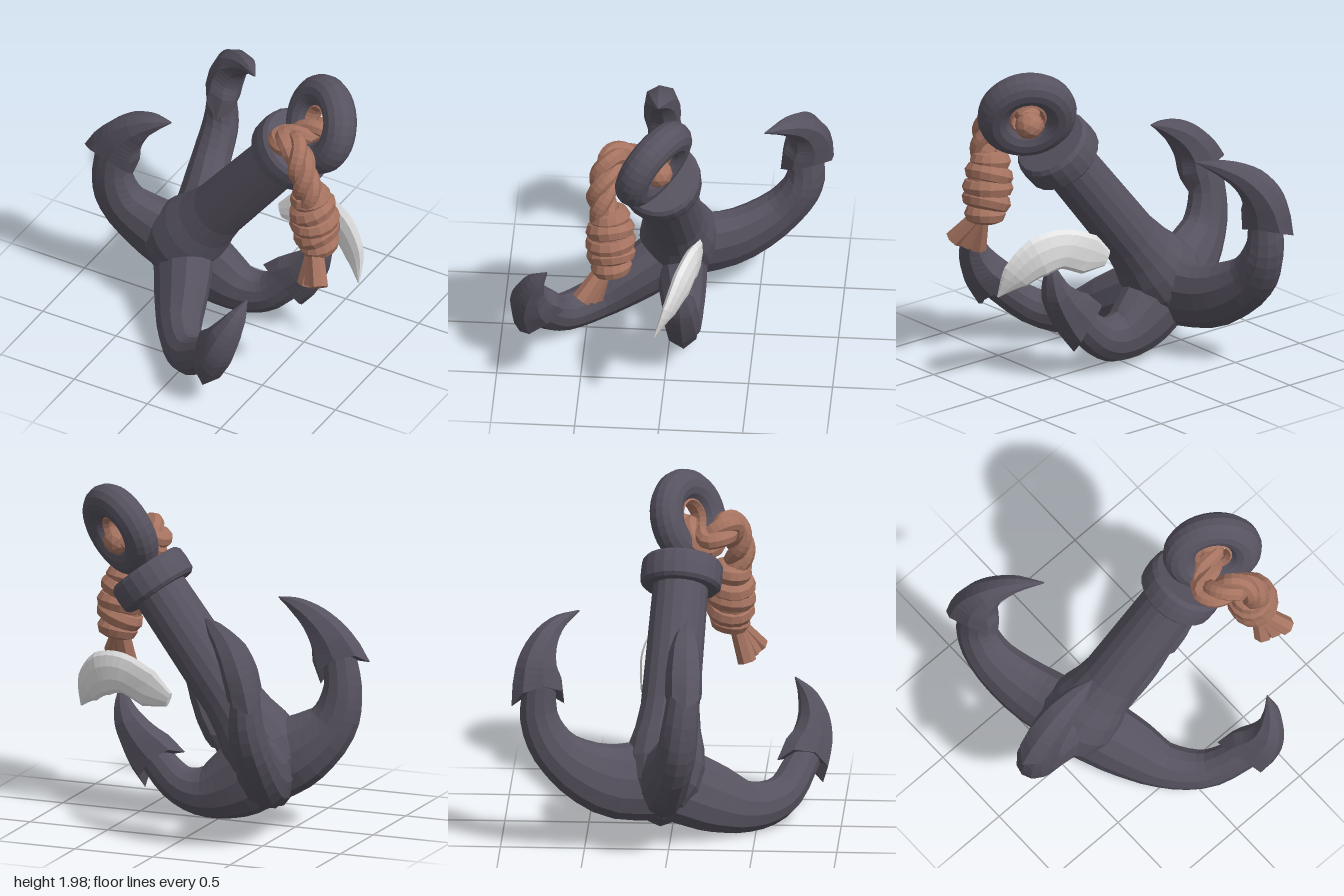
import * as THREE from 'three';

const V = (p) => new THREE.Vector3(...p);
const iron = new THREE.MeshStandardMaterial({ color: 0x56525f });
iron.name = 'dark iron';
const hemp = new THREE.MeshStandardMaterial({ color: 0xa67360 });
hemp.name = 'brown rope';
const bone = new THREE.MeshStandardMaterial({ color: 0xe4e4e4 });
bone.name = 'pale crescent';

// Faceted mesh with a plain name
function part(geo, mat, name, parent) {
  const g = geo.index ? geo.toNonIndexed() : geo;
  g.computeVertexNormals();
  const m = new THREE.Mesh(g, mat);
  m.name = name;
  parent.add(m);
  return m;
}

// Closed loft along a curve: w is the half width in the curve's plane, h across it.
// barb sweeps the edges of the first ring backwards; box < 1 squares the section.
function loft(points, w, h, N, { sides = 12, steps = 14, barb = 0, box = 1 } = {}) {
  const curve = new THREE.CatmullRomCurve3(points.map(V));
  const at = (list, t) => {
    const f = t * (list.length - 1), i = Math.min(Math.floor(f), list.length - 2);
    return THREE.MathUtils.lerp(list[i], list[i + 1], f - i);
  };
  const round = (v) => Math.sign(v) * Math.abs(v) ** box;
  const pos = [], idx = [];
  for (let i = 0; i <= steps; i++) {
    const t = i / steps, c = curve.getPoint(t), T = curve.getTangent(t);
    const W = new THREE.Vector3().crossVectors(N, T).normalize();
    for (let j = 0; j < sides; j++) {
      const a = (j / sides) * Math.PI * 2, k = round(Math.cos(a));
      const p = c.clone().addScaledVector(W, k * at(w, t)).addScaledVector(N, round(Math.sin(a)) * at(h, t));
      if (i === 0) p.addScaledVector(T, -barb * k ** 4);
      pos.push(p.x, p.y, p.z);
      if (i < steps) {
        const A = i * sides + j, B = i * sides + ((j + 1) % sides);
        idx.push(A, B, A + sides, B, B + sides, A + sides);
      }
    }
  }
  const s = pos.length / 3, last = steps * sides;
  pos.push(...points[0], ...points[points.length - 1]);
  for (let j = 0; j < sides; j++) {
    const k = (j + 1) % sides;
    idx.push(s, k, j, s + 1, last + j, last + k);
  }
  const g = new THREE.BufferGeometry();
  g.setAttribute('position', new THREE.Float32BufferAttribute(pos, 3));
  g.setIndex(idx);
  return g;
}

// Each hook: centre points of the arm, then of the fluke
const HOOKS = [
  { name: 'leftwardHook',
    arm: [[-0.33, 0.4, -0.03], [-0.53, 0.49, -0.01], [-0.72, 0.66, 0.05], [-0.77, 0.86, 0.08], [-0.74, 1.08, 0.1]],
    fluke: [[-0.735, 1.05, 0.1], [-0.68, 1.16, 0.1], [-0.58, 1.27, 0.1], [-0.46, 1.345, 0.1], [-0.35, 1.385, 0.1]] },
  { name: 'frontHook',
    arm: [[-0.33, 0.4, -0.03], [-0.2, 0.25, 0.24], [-0.09, 0.16, 0.45], [0.08, 0.175, 0.64], [0.31, 0.36, 0.775]],
    fluke: [[0.305, 0.35, 0.77], [0.375, 0.45, 0.805], [0.43, 0.56, 0.81], [0.48, 0.68, 0.77], [0.51, 0.775, 0.7]] },
  { name: 'backHook',
    arm: [[-0.33, 0.4, -0.03], [-0.43, 0.42, -0.36], [-0.5, 0.59, -0.64], [-0.5, 0.8, -0.765], [-0.5, 1.04, -0.77]],
    fluke: [[-0.5, 1.01, -0.78], [-0.47, 1.14, -0.785], [-0.4, 1.26, -0.75], [-0.28, 1.345, -0.67], [-0.15, 1.385, -0.55]] },
  { name: 'rightwardHook',
    arm: [[-0.33, 0.4, -0.03], [-0.14, 0.265, -0.06], [0.05, 0.195, -0.08], [0.21, 0.23, -0.09], [0.38, 0.39, -0.09]],
    fluke: [[0.37, 0.38, -0.09], [0.46, 0.475, -0.09], [0.54, 0.59, -0.09], [0.575, 0.7, -0.09], [0.58, 0.81, -0.09]] },
];

function buildHook({ name, arm, fluke }, parent) {
  const g = new THREE.Group();
  g.name = name;
  parent.add(g);
  const start = V(arm[0]);
  const N = V(arm[3]).sub(start).cross(V(fluke[4]).sub(start)).normalize();
  part(loft(arm, [0.25, 0.22, 0.155, 0.12, 0.1], [0.17, 0.145, 0.12, 0.11, 0.09], N), iron, 'hookArm', g);
  part(loft(fluke, [0.168, 0.13, 0.09, 0.05, 0.004], [0.11, 0.11, 0.095, 0.06, 0.004], N,
    { sides: 8, barb: 0.1, box: 0.85 }), iron, 'fluke', g);
}

function lathe(profile, sides) {
  return new THREE.LatheGeometry(profile.map((p) => new THREE.Vector2(...p)), sides);
}

// Three strands twisted around a path
function buildRope(points, turns, radius, parent) {
  const curve = new THREE.CatmullRomCurve3(points.map(V)), n = 40;
  const { normals, binormals } = curve.computeFrenetFrames(n);
  for (let s = 0; s < 3; s++) {
    const pts = [];
    for (let i = 0; i <= n; i++) {
      const a = (i / n) * turns * Math.PI * 2 + (s * Math.PI * 2) / 3;
      pts.push(curve.getPointAt(i / n)
        .addScaledVector(normals[i], Math.cos(a) * radius)
        .addScaledVector(binormals[i], Math.sin(a) * radius));
    }
    part(new THREE.TubeGeometry(new THREE.CatmullRomCurve3(pts), 36, radius * 1.15, 8), hemp, 'ropeStrand', parent);
  }
}

export function createModel() {
  const model = new THREE.Group();
  model.name = 'grapnel';

  // Shank, crown and collar share one leaning axis
  const axis = new THREE.Vector3(0.62, 0.783, 0.05).normalize();
  const shaft = new THREE.Group();
  shaft.name = 'shaft';
  shaft.position.set(-0.36, 0.43, -0.035);
  shaft.quaternion.setFromUnitVectors(new THREE.Vector3(0, 1, 0), axis);
  model.add(shaft);
  part(lathe([[0, -0.22], [0.13, -0.19], [0.21, -0.08], [0.24, 0.06], [0.225, 0.19], [0.195, 0.3], [0.175, 0.44],
    [0.165, 1.2]], 18), iron, 'shank', shaft);
  part(lathe([[0.15, 1.19], [0.22, 1.19], [0.24, 1.21], [0.244, 1.28], [0.24, 1.34], [0.22, 1.365], [0, 1.37]], 22),
    iron, 'collar', shaft);

  for (const h of HOOKS) buildHook(h, model);

  // Ring at the head, with rope lining its hole
  const ring = new THREE.Group();
  ring.name = 'headRing';
  ring.position.set(0.65, 1.71, 0.055);
  ring.quaternion.setFromUnitVectors(new THREE.Vector3(0, 0, 1), new THREE.Vector3(-0.5, 0.35, 0.79).normalize());
  model.add(ring);
  part(new THREE.TorusGeometry(0.198, 0.1, 14, 32), iron, 'ring', ring);
  part(new THREE.TorusGeometry(0.107, 0.028, 7, 18), hemp, 'ropeLining', ring).scale.z = 2;

  // Rope from the ring to the knot
  const rope = new THREE.Group();
  rope.name = 'rope';
  model.add(rope);
  buildRope([[0.66, 1.65, 0.03], [0.56, 1.63, 0.1], [0.47, 1.61, 0.19], [0.53, 1.67, 0.27], [0.61, 1.69, 0.31],
    [0.68, 1.6, 0.35], [0.72, 1.47, 0.36], [0.74, 1.33, 0.33]], 2.2, 0.043, rope);
  part(new THREE.IcosahedronGeometry(0.085, 1), hemp, 'ropeStub', rope).position.set(0.66, 1.65, 0.025);

  // Knot of slanting coils around a core
  const core = part(new THREE.IcosahedronGeometry(0.13, 1), hemp, 'knotCore', rope);
  core.position.set(0.745, 1.2, 0.305);
  core.scale.y = 1.5;
  const coils = [0.065, 0.09, 0.095, 0.09, 0.065];
  coils.forEach((r, i) => {
    const coil = part(new THREE.TorusGeometry(r, 0.06, 8, 14), hemp, 'knotCoil', rope);
    coil.position.set(0.72 + i * 0.013, 1.36 - i * 0.08, 0.31 - i * 0.003);
    coil.rotation.set(Math.PI / 2 + 0.15, i % 2 ? 0.4 : 0.15, i * 0.4);
  });

  // Frayed tail ends
  const top = new THREE.Vector3(0.765, 1.04, 0.33);
  for (const end of [[0.745, 0.79, 0.4], [0.87, 0.85, 0.47], [0.81, 0.82, 0.43]]) {
    const d = top.clone().sub(V(end));
    const tail = part(new THREE.CylinderGeometry(0.045, 0.058, d.length(), 7), hemp, 'ropeEnd', rope);
    tail.position.copy(V(end)).addScaledVector(d, 0.5);
    tail.quaternion.setFromUnitVectors(new THREE.Vector3(0, 1, 0), d.normalize());
  }

  // Pale curved crescent perched on the rightward hook
  part(loft([[0.235, 0.765, -0.19], [0.37, 0.82, -0.185], [0.55, 0.89, -0.155], [0.7, 0.86, -0.11], [0.82, 0.75, -0.045],
    [0.895, 0.615, 0.035]], [0.05, 0.125, 0.125, 0.135, 0.1, 0.005], [0.015, 0.03, 0.045, 0.045, 0.03, 0.005],
    new THREE.Vector3(-0.32, 0, 0.95), { sides: 10, steps: 20 }), bone, 'crescent', model);

  return model;
}
